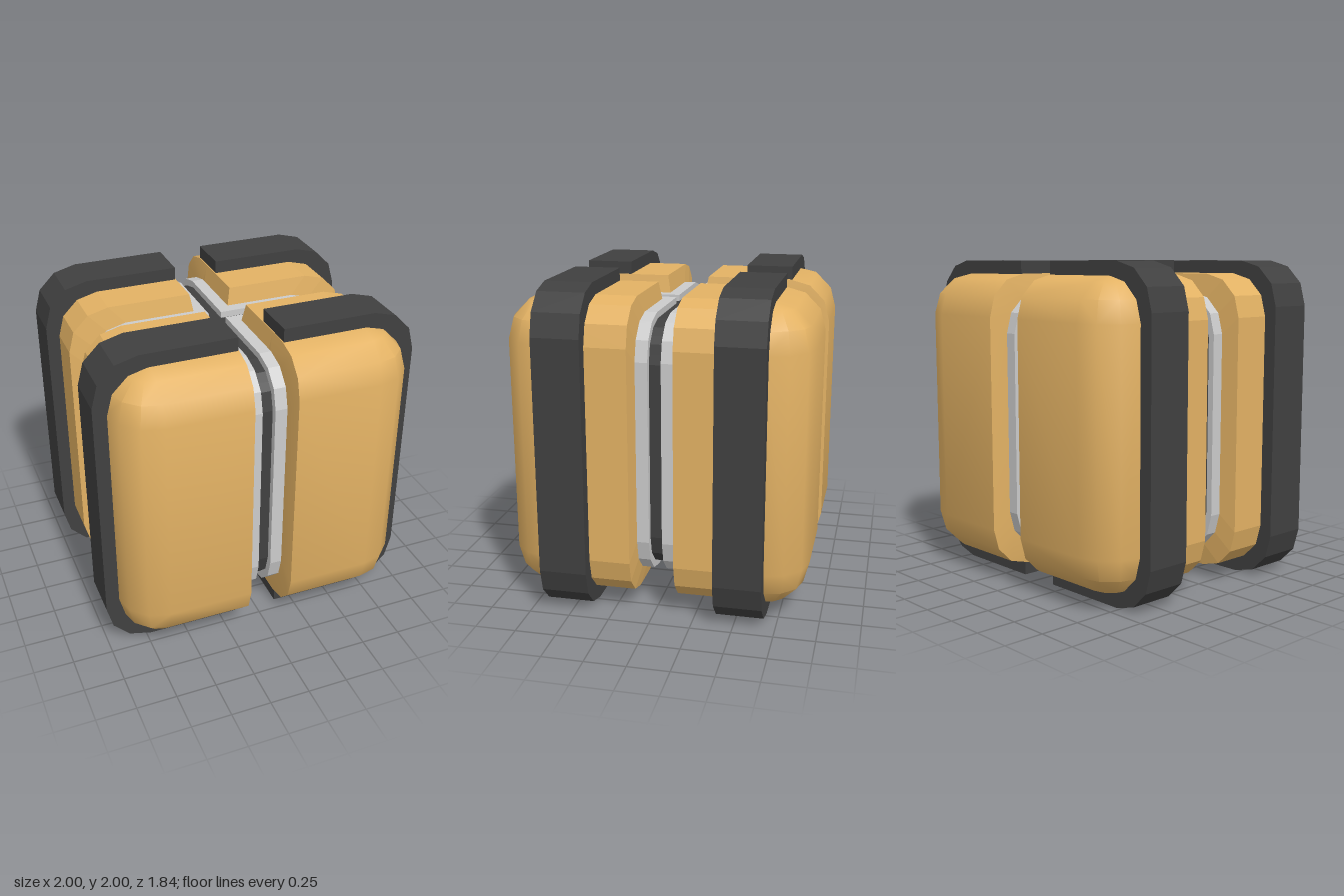
import * as THREE from 'three';
import { toCreasedNormals } from 'three/addons/utils/BufferGeometryUtils.js';
import { ConvexGeometry } from 'three/addons/geometries/ConvexGeometry.js';

const TAN = 0xe3b264, DARK = 0x404040, GREY = 0xcccccc;
const STEPS = [0, 1, 2, 3].map((i) => (i * Math.PI) / 6); // three facets per rounded corner
const GAP = 0.115; // inner faces of the blocks
const RIM = 0.135; // where the bevel around the inner faces begins
const SEAM = 0.53; // joint between faceted and smooth part, under the strap

// quarter-circle outline points [u, v] of a rounded square with half size h
const arc = (h, r) => STEPS.map((t) => [h - r + r * Math.cos(t), h - r + r * Math.sin(t)]);
const OUTER = arc(0.92, 0.26);
const INSET = arc(0.81, 0.25);

// spherical corner of a rounded cube
function corner(h, r) {
  const c = h - r, pts = [];
  for (const p of STEPS) for (const t of STEPS) {
    pts.push([c + r * Math.cos(p) * Math.cos(t), c + r * Math.sin(p), c + r * Math.cos(p) * Math.sin(t)]);
  }
  return pts;
}

// convex solid from points of one octant, mirrored about y = 1 and put in quadrant (sx, sz)
function hull(points, sx, sz) {
  return new ConvexGeometry(points.flatMap(([x, y, z]) => [1, -1].map(
    (sy) => new THREE.Vector3(sx * x, 1 + sy * y, sz * z))));
}

function add(group, name, geometry, color, flat = true) {
  const mesh = new THREE.Mesh(geometry, new THREE.MeshStandardMaterial({ color, flatShading: flat }));
  mesh.name = name;
  group.add(mesh);
}

// faceted inner part of a block, bevelled towards both gaps
function innerPoints() {
  const pts = [[GAP, 0.81, GAP], [GAP, 0.81, SEAM], ...INSET.map(([x, y]) => [x, y, GAP])];
  for (const z of [RIM, SEAM]) {
    pts.push([RIM, 0.92, z], ...OUTER.map(([x, y]) => [x, y, z]));
  }
  return pts;
}

// smooth outer part of a block with rounded corners
function outerPoints() {
  return [
    ...corner(0.92, 0.26),
    [RIM, 0.92, SEAM], [GAP, 0.81, SEAM],
    ...OUTER.map(([x, y]) => [x, y, SEAM]),
    ...OUTER.map(([z, y]) => [RIM, y, z]),
    ...INSET.map(([z, y]) => [GAP, y, z]),
  ];
}

// grey filler between block and core
function linerPoints() {
  const a = 0.04;
  return [...corner(0.81, 0.25), [a, 0.81, a],
    ...INSET.map(([x, y]) => [x, y, a]), ...INSET.map(([z, y]) => [a, y, z])];
}

// C-shaped strap wrapped around the block
function strapGeometry(sx, sz) {
  const x0 = 0.14;
  const outside = arc(1, 0.28), inside = arc(0.86, 0.2);
  const loop = (pts) => [
    [x0, pts[3][1]],
    ...[...pts].reverse(),
    ...pts.map(([x, y]) => [x, -y]),
    [x0, -pts[3][1]],
  ];
  const outline = [...loop(outside), ...loop(inside).reverse()];
  const shape = new THREE.Shape(outline.map(([x, y]) => new THREE.Vector2(sx * x, y + 1)));
  const geometry = new THREE.ExtrudeGeometry(shape, { depth: 0.29, bevelEnabled: false });
  return geometry.translate(0, 0, sz > 0 ? 0.385 : -0.675);
}

export function createModel() {
  const model = new THREE.Group();
  model.name = 'strappedCube';

  // dark core seen at the bottom of the gaps
  const core = corner(0.77, 0.23).flatMap(([x, y, z]) => [[x, y, z], [-x, y, z], [x, y, -z], [-x, y, -z]]);
  add(model, 'core', hull(core, 1, 1), DARK);

  // four blocks, each with its liner and strap
  for (const sx of [1, -1]) for (const sz of [1, -1]) {
    const quarter = new THREE.Group();
    quarter.name = `${sz > 0 ? 'front' : 'back'}${sx > 0 ? 'Left' : 'Right'}Quarter`;
    add(quarter, 'liner', hull(linerPoints(), sx, sz), GREY);
    add(quarter, 'blockInner', hull(innerPoints(), sx, sz), TAN);
    add(quarter, 'blockOuter', toCreasedNormals(hull(outerPoints(), sx, sz), 0.6), TAN, false);
    add(quarter, 'strap', strapGeometry(sx, sz), DARK);
    model.add(quarter);
  }
  return model;
}
